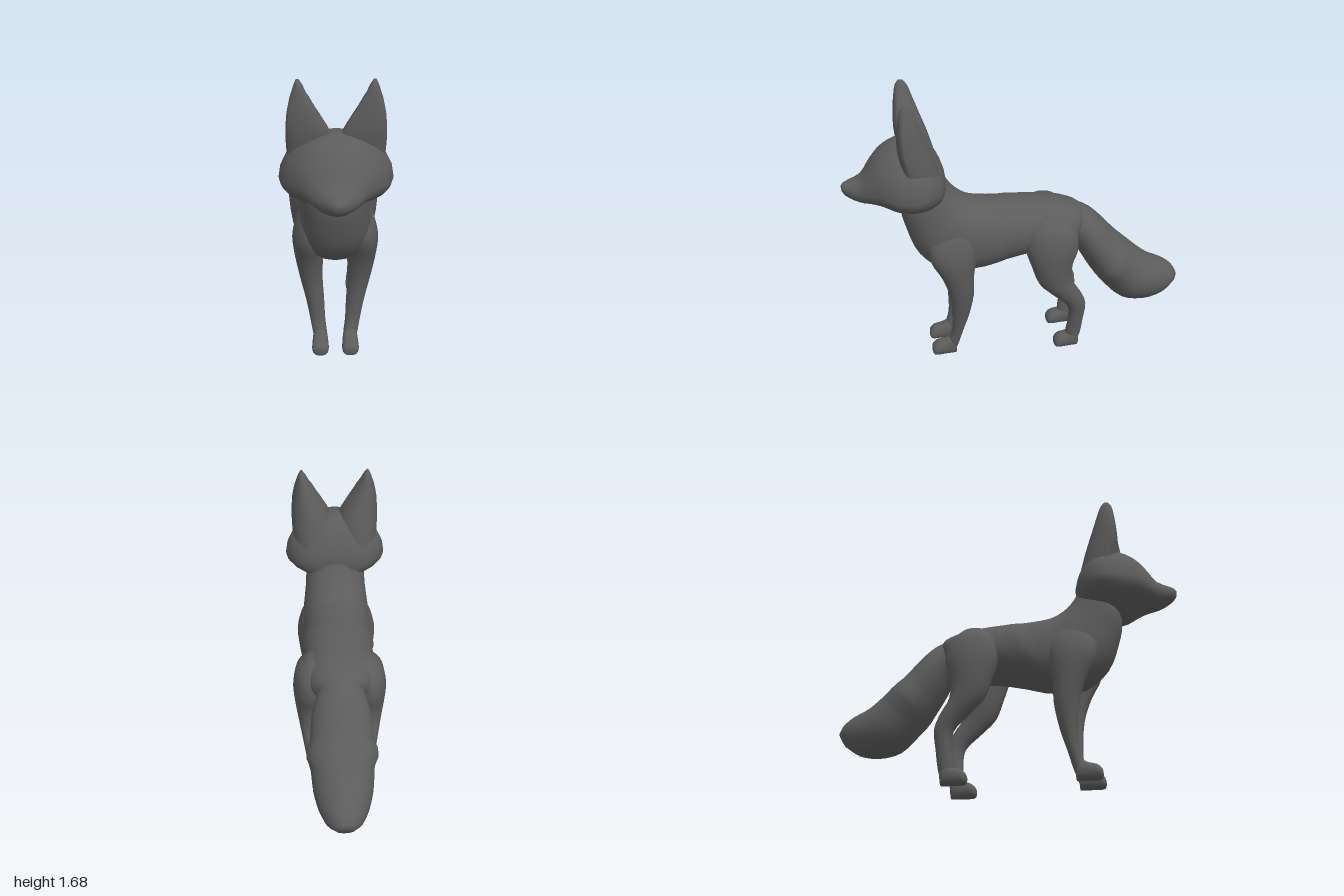
import * as THREE from 'three';

const fur = new THREE.MeshStandardMaterial({ color: 0x5c5c5c });
fur.name = 'greyFur';

// Smooth loft through rings. Each ring: [z1, y1, z2, y2, halfWidth, xCentre, waist]
// (z1, y1) and (z2, y2) are opposite rim points; waist places the widest line from 2 (0) to 1 (1).
function loft(name, rings, { power = 2, steps = 3, sides = 24 } = {}) {
  const curve = (f) => new THREE.CatmullRomCurve3(rings.map((r) => new THREE.Vector3(...f(r))));
  const rimA = curve((r) => [0, r[1], r[0]]);
  const rimB = curve((r) => [0, r[3], r[2]]);
  const size = curve((r) => [r[4], r[5] ?? 0, r[6] ?? 0.5]);
  const n = (rings.length - 1) * steps;
  const pos = [], index = [];
  const bend = (v) => Math.sign(v) * Math.pow(Math.abs(v), 2 / power);
  const ends = [];
  for (let i = 0; i <= n; i++) {
    const a = rimA.getPoint(i / n), b = rimB.getPoint(i / n), s = size.getPoint(i / n);
    const mid = b.clone().lerp(a, s.z);
    if (i === 0 || i === n) ends.push([s.y, mid.y, mid.z]);
    for (let j = 0; j < sides; j++) {
      const t = (j / sides) * Math.PI * 2;
      const v = bend(Math.sin(t));
      const p = mid.clone().lerp(v > 0 ? a : b, Math.abs(v));
      pos.push(s.y + s.x * bend(Math.cos(t)), p.y, p.z);
    }
  }
  ends.forEach((e) => pos.push(...e));
  const first = (n + 1) * sides;
  for (let j = 0; j < sides; j++) {
    const k = (j + 1) % sides;
    for (let i = 0; i < n; i++) {
      const p = i * sides + j, q = i * sides + k;
      index.push(p, q, p + sides, q, q + sides, p + sides);
    }
    index.push(first, k, j, first + 1, n * sides + j, n * sides + k);
  }
  // Turn the faces outward whichever way the rings run
  let volume = 0;
  const at = (i) => new THREE.Vector3().fromArray(pos, i * 3);
  for (let i = 0; i < index.length; i += 3) {
    volume += at(index[i]).dot(at(index[i + 1]).cross(at(index[i + 2])));
  }
  if (volume < 0) index.reverse();
  const g = new THREE.BufferGeometry();
  g.setAttribute('position', new THREE.Float32BufferAttribute(pos, 3));
  g.setIndex(index);
  g.computeVertexNormals();
  const mesh = new THREE.Mesh(g, fur);
  mesh.name = name;
  return mesh;
}

// Paw, shared by front and hind legs
function paw(name, x, z) {
  return loft(name, [
    [z - 0.15, 0.10, z - 0.145, 0.0, 0.03, x],
    [z - 0.12, 0.12, z - 0.13, 0.0, 0.042, x],
    [z - 0.08, 0.10, z - 0.08, 0.0, 0.046, x],
    [z - 0.03, 0.085, z - 0.03, 0.0, 0.048, x],
    [z - 0.004, 0.06, z - 0.008, 0.005, 0.038, x],
    [z, 0.045, z, 0.02, 0.016, x],
  ], { power: 2.4, sides: 16 });
}

export function createModel() {
  const model = new THREE.Group();
  model.name = 'fox';

  // Neck, chest and trunk
  model.add(loft('body', [
    [0.46, 1.26, 0.64, 1.06, 0.15],
    [0.405, 1.13, 0.675, 0.99, 0.175],
    [0.35, 1.06, 0.65, 0.85, 0.183],
    [0.27, 1.01, 0.585, 0.69, 0.198],
    [0.19, 0.998, 0.45, 0.575, 0.203],
    [0.09, 0.99, 0.27, 0.572, 0.205],
    [-0.01, 0.985, 0.10, 0.615, 0.205],
    [-0.13, 0.975, -0.05, 0.65, 0.203],
    [-0.25, 0.957, -0.2, 0.66, 0.2],
    [-0.35, 0.925, -0.31, 0.69, 0.165],
    [-0.41, 0.89, -0.35, 0.73, 0.08],
  ], { power: 2.2 }));

  // Bushy tail
  model.add(loft('tail', [
    [-0.29, 0.935, -0.24, 0.74, 0.1],
    [-0.41, 0.897, -0.33, 0.675, 0.14],
    [-0.50, 0.82, -0.375, 0.6, 0.168],
    [-0.61, 0.70, -0.44, 0.49, 0.18],
    [-0.72, 0.60, -0.53, 0.37, 0.18],
    [-0.82, 0.52, -0.635, 0.265, 0.168],
    [-0.91, 0.48, -0.76, 0.233, 0.14],
    [-0.97, 0.435, -0.88, 0.255, 0.1],
    [-0.998, 0.39, -0.96, 0.31, 0.05],
  ]));

  // Head with broad cheeks and pointed muzzle
  model.add(loft('head', [
    [1.0, 1.145, 0.995, 1.11, 0.018],
    [0.985, 1.162, 0.975, 1.085, 0.042],
    [0.89, 1.2, 0.9, 1.05, 0.11],
    [0.83, 1.285, 0.835, 1.045, 0.165, 0, 0.42],
    [0.77, 1.352, 0.775, 1.04, 0.22, 0, 0.36],
    [0.69, 1.395, 0.7, 1.015, 0.275, 0, 0.33],
    [0.6, 1.405, 0.6, 1.005, 0.3, 0, 0.34],
    [0.51, 1.37, 0.52, 1.01, 0.27, 0, 0.38],
    [0.45, 1.28, 0.45, 1.04, 0.2, 0, 0.45],
    [0.42, 1.2, 0.42, 1.09, 0.11],
  ]));

  for (const side of [1, -1]) {
    const label = side > 0 ? 'left' : 'right';
    const x = (v) => v * side;

    // Ear, flatter in front and rounded behind
    model.add(loft(label + 'Ear', [
      [0.66, 1.22, 0.45, 1.22, 0.115, x(0.135), 0.7],
      [0.67, 1.32, 0.475, 1.32, 0.12, x(0.137), 0.75],
      [0.682, 1.41, 0.5, 1.4, 0.113, x(0.145), 0.8],
      [0.68, 1.5, 0.537, 1.5, 0.084, x(0.168), 0.8],
      [0.67, 1.59, 0.566, 1.58, 0.05, x(0.185), 0.75],
      [0.658, 1.65, 0.59, 1.645, 0.023, x(0.192), 0.6],
      [0.64, 1.677, 0.61, 1.674, 0.008, x(0.195)],
    ]));

    // Eye
    const eye = new THREE.Mesh(new THREE.SphereGeometry(1, 16, 12), fur);
    eye.name = label + 'Eye';
    eye.scale.set(0.052, 0.04, 0.022);
    eye.position.set(x(0.135), 1.225, 0.79);
    eye.rotation.set(-0.35, x(0.6), x(-0.2), 'YXZ');
    model.add(eye);

    // Front leg
    model.add(loft(label + 'FrontLeg', [
      [0.46, 0.92, 0.28, 0.92, 0.04, x(0.12)],
      [0.53, 0.82, 0.24, 0.82, 0.075, x(0.14)],
      [0.53, 0.7, 0.26, 0.7, 0.083, x(0.157)],
      [0.47, 0.58, 0.28, 0.57, 0.08, x(0.148)],
      [0.425, 0.44, 0.282, 0.44, 0.066, x(0.138)],
      [0.412, 0.28, 0.31, 0.29, 0.052, x(0.115)],
      [0.415, 0.17, 0.35, 0.16, 0.043, x(0.1)],
      [0.435, 0.1, 0.375, 0.07, 0.04, x(0.088)],
      [0.44, 0.04, 0.395, 0.02, 0.03, x(0.086)],
    ]));
    model.add(paw(label + 'FrontPaw', x(0.086), 0.537));

    // Hind leg with thigh and hock
    model.add(loft(label + 'HindLeg', [
      [-0.12, 0.93, -0.25, 0.92, 0.05, x(0.13)],
      [-0.04, 0.85, -0.32, 0.84, 0.09, x(0.16)],
      [-0.025, 0.73, -0.335, 0.72, 0.1, x(0.17)],
      [-0.06, 0.61, -0.302, 0.61, 0.092, x(0.17)],
      [-0.105, 0.49, -0.307, 0.49, 0.073, x(0.17)],
      [-0.19, 0.4, -0.355, 0.41, 0.058, x(0.165)],
      [-0.282, 0.305, -0.392, 0.32, 0.047, x(0.156)],
      [-0.291, 0.19, -0.383, 0.2, 0.042, x(0.141)],
      [-0.28, 0.1, -0.37, 0.09, 0.04, x(0.13)],
      [-0.29, 0.04, -0.35, 0.02, 0.03, x(0.128)],
    ]));
    model.add(paw(label + 'HindPaw', x(0.128), -0.208));
  }
  return model;
}
